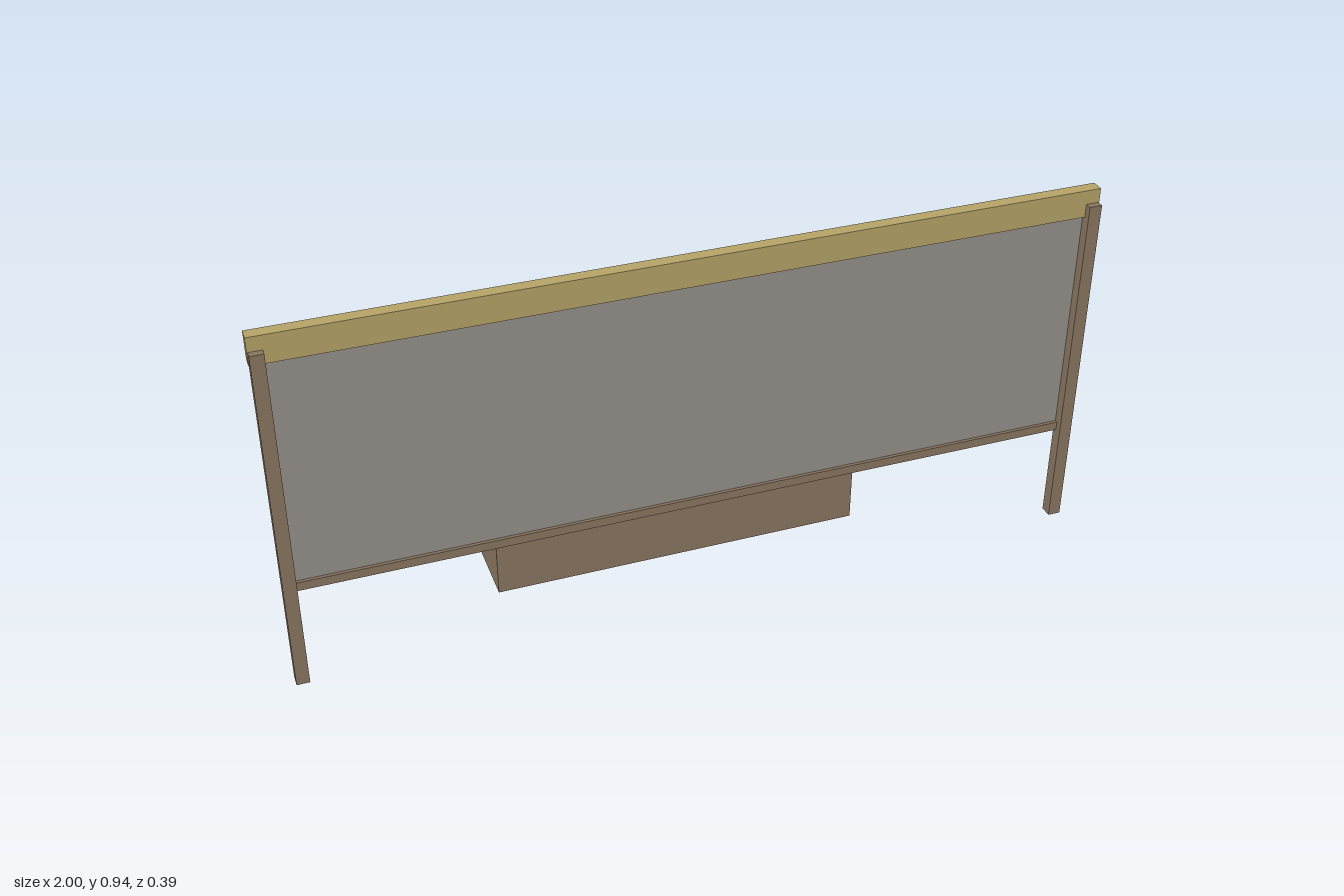
import * as THREE from 'three';

export function createModel() {
  const root = new THREE.Group();
  const mat = (name, color) => {
    const m = new THREE.MeshStandardMaterial({ color });
    m.name = name;
    return m;
  };
  const wood = mat('brown wood', 0x87745f);
  const pale = mat('pale wood', 0xb5a268);
  const cloth = mat('grey panel', 0x94908a);
  const metal = mat('steel', 0x6a747e);

  function add(name, geo, material, x, y, z, parent = root) {
    const m = new THREE.Mesh(geo, material);
    m.name = name;
    m.position.set(x, y, z);
    parent.add(m);
    return m;
  }
  // Box given by its minimum and maximum corners
  function box(name, material, x0, x1, y0, y1, z0, z1, parent) {
    return add(name, new THREE.BoxGeometry(x1 - x0, y1 - y0, z1 - z0), material,
      (x0 + x1) / 2, (y0 + y1) / 2, (z0 + z1) / 2, parent);
  }

  // Tool wall: posts, panel, bottom rail and top beam
  box('leftPost', wood, 0.966, 0.998, 0, 0.902, 0.167, 0.198);
  box('rightPost', wood, -0.998, -0.966, 0, 0.902, 0.167, 0.198);
  box('panel', cloth, -0.968, 0.968, 0.27, 0.9, 0.168, 0.172);
  box('bottomRail', wood, -0.968, 0.968, 0.258, 0.281, 0.159, 0.18);
  box('topBeam', pale, -1, 1, 0.868, 0.938, 0.15, 0.181);

  // Six hooks on the back of the panel
  for (let i = 0; i < 6; i++) {
    const hook = new THREE.Group();
    hook.name = 'hook';
    hook.position.x = -0.785 + i * 0.314;
    const arm = box('hookArm', metal, -0.003, 0.003, 0.727, 0.734, 0.107, 0.17, hook);
    arm.rotation.x = 0.12;
    box('hookTip', metal, -0.003, 0.003, 0.732, 0.758, 0.107, 0.114, hook);
    root.add(hook);
  }

  // Open trough with a batten along each long side
  const trough = new THREE.Group();
  trough.name = 'trough';
  root.add(trough);
  box('troughFloor', wood, -0.469, 0.469, 0.01, 0.024, -0.192, 0.039, trough);
  box('troughFrontWall', wood, -0.47, 0.47, 0.01, 0.226, 0.027, 0.04, trough);
  box('troughBackWall', wood, -0.47, 0.47, 0.01, 0.226, -0.193, -0.18, trough);
  for (const s of [-1, 1])
    box('troughEndWall', wood, s * 0.4635 - 0.0065, s * 0.4635 + 0.0065, 0.01, 0.226, -0.181, 0.028, trough);
  box('frontBatten', wood, -0.476, 0.476, 0.157, 0.178, 0.02, 0.042, trough);
  box('backBatten', wood, -0.476, 0.476, 0.157, 0.178, -0.196, -0.174, trough);

  // Tools leaning in the trough: a shaft from the floor to a head
  function tool(name, foot, top, yTop, headGeo, headMat, headY, yaw) {
    const g = new THREE.Group();
    g.name = name;
    const b = new THREE.Vector3(top, yTop, -0.058);
    const a = new THREE.Vector3(foot, 0.225, -0.07);
    a.lerp(b, -0.2 / (yTop - 0.225)); // carry the shaft down to the floor
    const dir = b.clone().sub(a);
    const mid = a.clone().add(b).multiplyScalar(0.5);
    const shaft = add('shaft', new THREE.CylinderGeometry(0.0055, 0.0055, dir.length(), 6), wood, mid.x, mid.y, mid.z, g);
    shaft.quaternion.setFromUnitVectors(new THREE.Vector3(0, 1, 0), dir.normalize());
    add('head', headGeo, headMat, top, headY, -0.058, g).rotation.y = yaw;
    root.add(g);
  }
  // Tapered spade head, flattened front to back
  const spade = new THREE.CylinderGeometry(0.007, 0.036, 0.07, 4).toNonIndexed();
  spade.scale(1, 1, 0.45);
  spade.computeVertexNormals();
  const bar = new THREE.BoxGeometry(0.12, 0.018, 0.016);
  const plate = new THREE.BoxGeometry(0.06, 0.072, 0.007);

  tool('spadeLeft', 0.342, 0.357, 0.54, spade, wood, 0.555, -0.7);
  tool('spadeRight', -0.193, -0.218, 0.54, spade, wood, 0.555, 0.6);
  tool('rakeLeft', 0.134, 0.09, 0.53, bar, metal, 0.535, 0.04);
  tool('rakeRight', -0.31, -0.288, 0.53, bar, metal, 0.535, -0.06);
  tool('shovel', 0.019, 0.048, 0.54, plate, metal, 0.55, -0.25);

  return root;
}
